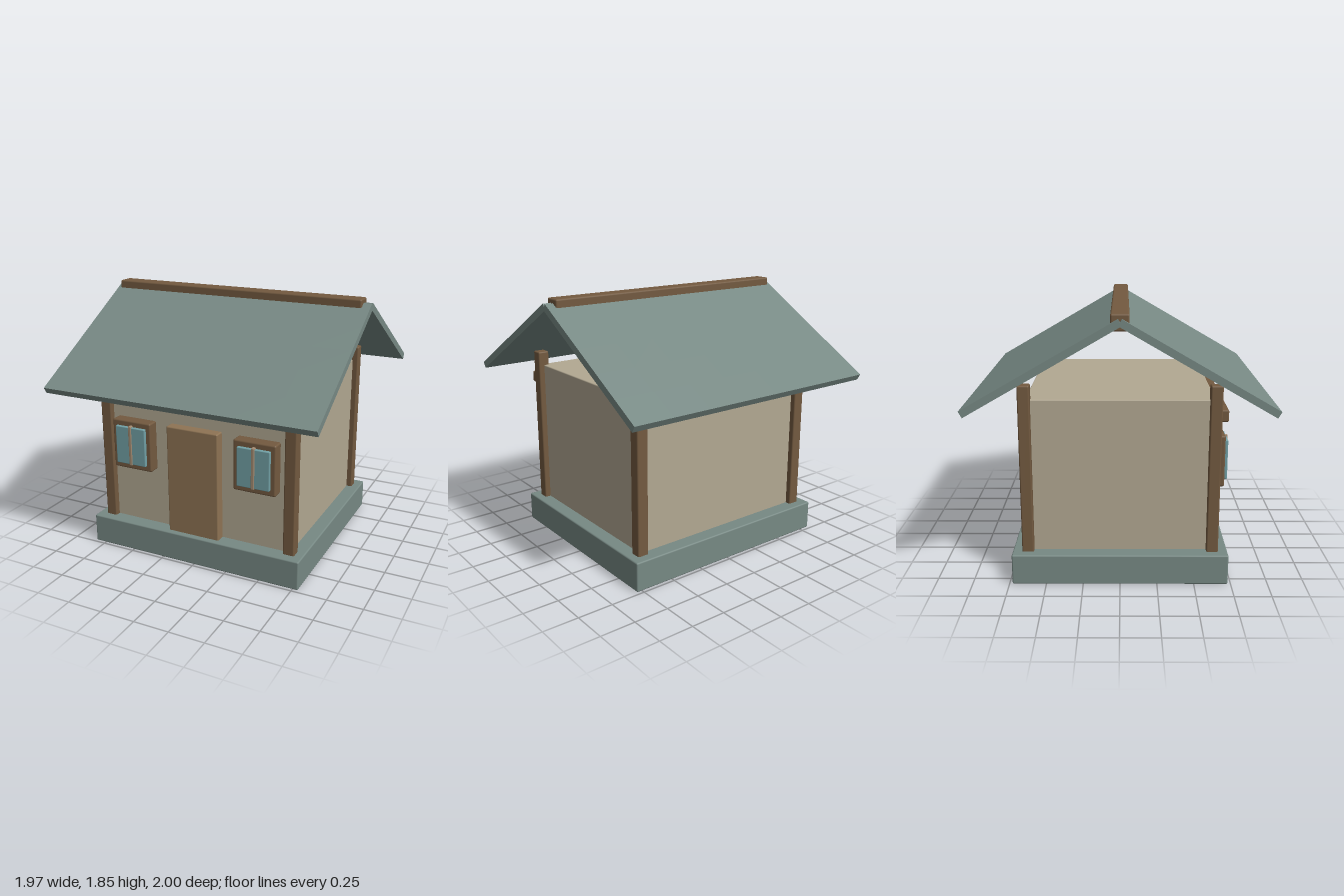
import * as THREE from 'three';
import { RoundedBoxGeometry } from 'three/addons/geometries/RoundedBoxGeometry.js';

function material(name, color) {
  const m = new THREE.MeshStandardMaterial({ color });
  m.name = name;
  return m;
}

export function createModel() {
  const slate = material('slate', 0x778984);
  const plaster = material('plaster', 0xb2a892);
  const timber = material('darkTimber', 0x735a40);
  const doorWood = material('doorWood', 0x8f7454);
  const glass = material('glass', 0x72a1a6);
  const barWood = material('barWood', 0xa28b72);

  const house = new THREE.Group();
  house.name = 'house';

  // Softly bevelled box given by its lower and upper corners
  function block(name, mat, min, max, bevel = 0.01, parent = house) {
    const [w, h, d] = max.map((v, i) => v - min[i]);
    const mesh = new THREE.Mesh(new RoundedBoxGeometry(w, h, d, 2, bevel), mat);
    mesh.position.set(...max.map((v, i) => (v + min[i]) / 2));
    mesh.name = name;
    parent.add(mesh);
    return mesh;
  }

  // Plinth and walls
  block('plinth', slate, [-0.83, 0, -0.73], [0.79, 0.21, 0.73]);
  block('walls', plaster, [-0.725, 0.19, -0.625], [0.69, 1.262, 0.625], 0.008);

  // Corner posts
  for (const x of [-0.725, 0.69]) {
    for (const z of [-0.625, 0.625]) {
      block('cornerPost', timber, [x - 0.041, 0.19, z - 0.04], [x + 0.041, 1.363, z + 0.04]);
    }
  }

  // Front lintel beam and door
  block('frontBeam', timber, [-0.75, 1.12, 0.62], [0.725, 1.2, 0.708]);
  block('door', doorWood, [-0.215, 0.19, 0.61], [0.178, 0.995, 0.692]);

  // Windows: frame, pane and centre bar
  for (const x of [-0.488, 0.455]) {
    const win = new THREE.Group();
    win.name = 'window';
    block('windowFrame', timber, [x - 0.153, 0.633, 0.62], [x + 0.153, 0.993, 0.708], 0.012, win);
    block('windowPane', glass, [x - 0.118, 0.675, 0.69], [x + 0.118, 0.952, 0.73], 0.006, win);
    block('windowBar', barWood, [x - 0.012, 0.67, 0.69], [x + 0.012, 0.962, 0.737], 0.006, win);
    house.add(win);
  }

  // Roof slopes laid as 7 x 5 flush slabs
  const cols = 7, rows = 5, width = 1.97, slope = 1.14, thick = 0.048;
  const tileGeometry = new THREE.BoxGeometry(width / cols, thick, slope / rows);
  for (const side of [1, -1]) {
    const roof = new THREE.Group();
    roof.name = side > 0 ? 'frontRoof' : 'backRoof';
    for (let c = 0; c < cols; c++) {
      for (let r = 0; r < rows; r++) {
        const tile = new THREE.Mesh(tileGeometry, slate);
        tile.name = 'roofTile';
        tile.position.set((c + 0.5) * width / cols - width / 2, 0, side * (r + 0.5) * slope / rows);
        roof.add(tile);
      }
    }
    roof.position.y = 1.8;
    roof.rotation.x = side * Math.PI / 6;
    house.add(roof);
  }

  // Ridge beam
  block('ridgeBeam', timber, [-0.963, 1.742, -0.059], [0.927, 1.85, 0.059], 0.012);

  return house;
}
